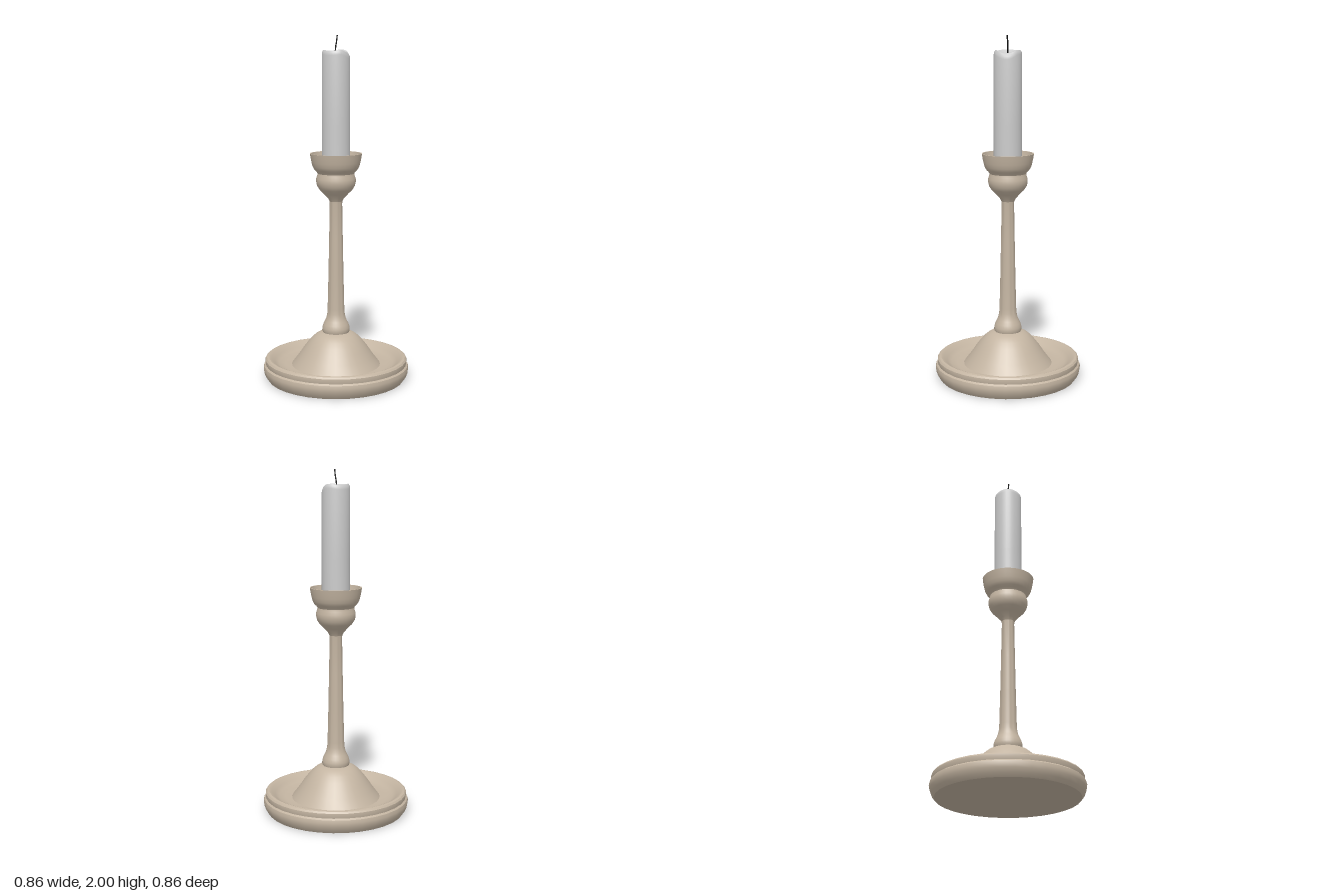
import * as THREE from 'three';
import { toCreasedNormals } from 'three/addons/utils/BufferGeometryUtils.js';

const SIDES = 32;

// Turned part: [radius, height] points, traced from the bottom centre up the outside.
function turned(name, points, material, crease = 0.6, sides = SIDES) {
  const profile = points.map(([r, y]) => new THREE.Vector2(r, y));
  const geometry = toCreasedNormals(new THREE.LatheGeometry(profile, sides), crease);
  const mesh = new THREE.Mesh(geometry, material);
  mesh.name = name;
  return mesh;
}

export function createModel() {
  const model = new THREE.Group();
  model.name = 'candlestick';
  const ceramic = new THREE.MeshStandardMaterial({ color: 0xc4b5a2, side: THREE.DoubleSide });
  const wax = new THREE.MeshStandardMaterial({ color: 0xcccccc });
  const black = new THREE.MeshStandardMaterial({ color: 0x111111 });

  // Dished base with a domed centre
  model.add(turned('base', [
    [0, 0], [0.4, 0], [0.415, 0.02], [0.425, 0.045], [0.428, 0.065], [0.424, 0.082],
    [0.414, 0.09], [0.417, 0.105], [0.416, 0.118], [0.408, 0.127], [0.395, 0.13],
    [0.38, 0.124], [0.36, 0.105], [0.335, 0.09], [0.3, 0.083], [0.26, 0.083],
    [0.22, 0.135], [0.19, 0.18], [0.165, 0.213], [0.14, 0.242], [0.115, 0.263],
    [0.095, 0.273], [0.075, 0.278],
  ], ceramic));

  // Collar and slender tapering stem
  model.add(turned('stem', [
    [0.075, 0.272], [0.081, 0.288], [0.08, 0.305], [0.074, 0.325], [0.064, 0.345],
    [0.056, 0.365], [0.051, 0.39], [0.049, 0.42], [0.044, 0.62], [0.04, 0.82],
    [0.036, 1.04], [0.038, 1.06],
  ], ceramic));

  // Bulged socket opening into a flared cup
  model.add(turned('cup', [
    [0.036, 1.05], [0.046, 1.07], [0.072, 1.098], [0.096, 1.122], [0.109, 1.143],
    [0.114, 1.165], [0.114, 1.185], [0.108, 1.203], [0.106, 1.215], [0.113, 1.226],
    [0.125, 1.238], [0.135, 1.256], [0.141, 1.28], [0.146, 1.305], [0.15, 1.33],
    [0.143, 1.33], [0.132, 1.285], [0.115, 1.25], [0.08, 1.22], [0, 1.21],
  ], ceramic));

  // Candle with a shallow melted top, its rim sagging on one side
  const candle = turned('candle', [
    [0, 1.2], [0.081, 1.2], [0.081, 1.5], [0.08, 1.89], [0.078, 1.905], [0.071, 1.915],
    [0.06, 1.912], [0.045, 1.9], [0.02, 1.894], [0, 1.894],
  ], wax, 0.8);
  const position = candle.geometry.attributes.position;
  for (let i = 0; i < position.count; i++) {
    const x = position.getX(i), y = position.getY(i), z = position.getZ(i);
    if (y < 1.85) continue;
    const sag = Math.max(0, (x + z) / 0.115 - 0.55);
    position.setY(i, y - 0.05 * sag - 0.003 * Math.sin(3 * Math.atan2(z, x)) * (Math.hypot(x, z) / 0.08));
  }
  candle.geometry = toCreasedNormals(candle.geometry, 0.8);
  model.add(candle);

  // Bent wick
  const path = new THREE.CatmullRomCurve3([
    new THREE.Vector3(-0.004, 1.885, -0.003),
    new THREE.Vector3(-0.002, 1.93, -0.001),
    new THREE.Vector3(0.002, 1.965, 0.003),
    new THREE.Vector3(0.004, 2, 0.007),
  ]);
  const wick = new THREE.Mesh(new THREE.TubeGeometry(path, 8, 0.004, 6), black);
  wick.name = 'wick';
  model.add(wick);

  return model;
}
